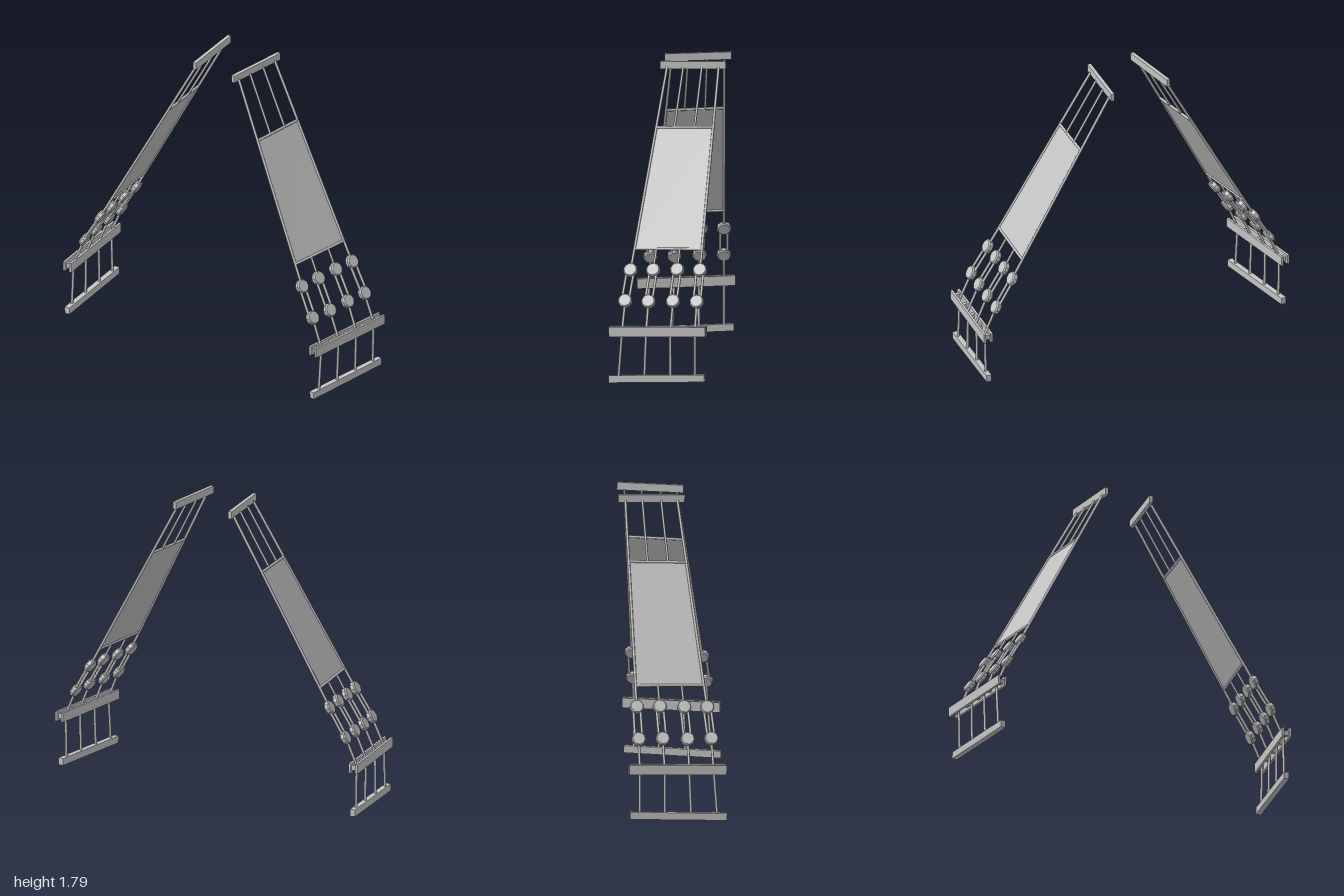
import * as THREE from 'three';

const V = (x, y, z) => new THREE.Vector3(x, y, z);
const grey = new THREE.MeshStandardMaterial({ color: 0xc4c4c4 });
grey.name = 'plain grey';
const sheetGrey = grey.clone();
sheetGrey.name = 'plain grey sheet';
sheetGrey.side = THREE.DoubleSide;

function add(parent, name, geometry, material = grey) {
  const mesh = new THREE.Mesh(geometry, material);
  mesh.name = name;
  parent.add(mesh);
  return mesh;
}

// round rod between two points
function rod(parent, name, a, b, r) {
  const mesh = add(parent, name, new THREE.CylinderGeometry(r, r, a.distanceTo(b), 8));
  mesh.position.lerpVectors(a, b, 0.5);
  mesh.quaternion.setFromUnitVectors(V(0, 1, 0), b.clone().sub(a).normalize());
}

// upright rectangular beam between two points, shifted sideways by offset
function beam(parent, name, a, b, width, height, offset = 0) {
  const along = b.clone().sub(a).normalize();
  const side = V(0, 1, 0).cross(along).normalize();
  const up = along.clone().cross(side);
  const mesh = add(parent, name, new THREE.BoxGeometry(width, height, a.distanceTo(b)));
  mesh.quaternion.setFromRotationMatrix(new THREE.Matrix4().makeBasis(side, up, along));
  mesh.position.lerpVectors(a, b, 0.5).addScaledVector(side, offset);
}

// faceted block with softened rims, axis on y
function blockGeometry() {
  const profile = [[0, -0.017], [0.036, -0.017], [0.042, -0.01], [0.042, 0.01], [0.036, 0.017], [0, 0.017]];
  const g = new THREE.LatheGeometry(profile.map(p => new THREE.Vector2(...p)), 10).toNonIndexed();
  g.computeVertexNormals();
  return g;
}

// points along each of the four lines, front to back
const lines = [
  { foot: [0.905, 0.03, 0.256], rail: [0.908, 0.305, 0.235], low: [0.835, 0.474, 0.223], high: [0.74, 0.64, 0.2], top: [0.147, 1.755, 0.038] },
  { foot: [0.922, 0.035, 0.104], rail: [0.926, 0.31, 0.093], low: [0.855, 0.475, 0.085], high: [0.757, 0.645, 0.066], top: [0.157, 1.757, -0.057] },
  { foot: [0.938, 0.04, -0.05], rail: [0.943, 0.315, -0.05], low: [0.875, 0.482, -0.06], high: [0.775, 0.652, -0.076], top: [0.168, 1.76, -0.166] },
  { foot: [0.955, 0.045, -0.195], rail: [0.96, 0.32, -0.195], low: [0.89, 0.483, -0.2], high: [0.79, 0.654, -0.21], top: [0.178, 1.763, -0.265] },
];

function buildSide(s) {
  const side = new THREE.Group();
  side.name = s > 0 ? 'leftRigging' : 'rightRigging';
  const P = p => V(p[0] * s, p[1], p[2]);

  // cross beams
  beam(side, 'topBeam', P([0.14, 1.757, 0.08]), P([0.182, 1.768, -0.307]), 0.022, 0.045);
  beam(side, 'footBeam', P([0.897, 0.024, 0.312]), P([0.962, 0.046, -0.252]), 0.032, 0.042);
  const railA = P([0.9, 0.305, 0.308]), railB = P([0.97, 0.322, -0.26]);
  for (const o of [-1, 1]) beam(side, 'channelRail', railA, railB, 0.014, 0.058, o * 0.021);
  for (let i = 0; i < 5; i++) {
    const t = 0.05 + i * 0.225;
    beam(side, 'railSpacer', railA.clone().lerp(railB, t - 0.022), railA.clone().lerp(railB, t + 0.022), 0.03, 0.03);
  }

  // plane of the rigging
  const edge = P(lines[3].high).sub(P(lines[0].high)).normalize();
  const atY = (l, y) => {
    const a = P(l.high), b = P(l.top);
    return a.clone().lerp(b, (y - a.y) / (b.y - a.y));
  };
  const panelLow = i => 0.758 + i * 0.0033, panelHigh = i => 1.417 + i * 0.0043;

  lines.forEach((l, i) => {
    const foot = P(l.foot), rail = P(l.rail), low = P(l.low), high = P(l.high), top = P(l.top);
    rod(side, 'footRod', foot, rail, 0.008);
    rod(side, 'linkRod', rail, low, 0.008);

    // paired round blocks
    const along = high.clone().sub(low).normalize();
    const across = edge.clone().addScaledVector(along, -edge.dot(along)).normalize();
    const normal = along.clone().cross(across).normalize();
    for (const c of [low, high]) {
      const block = add(side, 'roundBlock', blockGeometry());
      block.position.copy(c);
      block.quaternion.setFromUnitVectors(V(0, 1, 0), normal);
    }
    // lacing between the blocks
    for (const o of [-0.021, 0.021]) {
      rod(side, 'lacing', low.clone().addScaledVector(across, o), high.clone().addScaledVector(across, o), 0.008);
    }

    // outer lines run full length, inner ones stop at the panel
    if (i === 0 || i === 3) rod(side, 'outerLine', high, top, 0.008);
    else {
      rod(side, 'innerLine', high, atY(l, panelLow(i)), 0.007);
      rod(side, 'innerLine', atY(l, panelHigh(i)), top, 0.007);
    }
  });

  // panel between the outer lines, with edge bars
  const a = atY(lines[0], panelLow(0)), b = atY(lines[3], panelLow(3));
  const c = atY(lines[3], panelHigh(3)), d = atY(lines[0], panelHigh(0));
  const corners = s > 0 ? [a, b, c, a, c, d] : [a, c, b, a, d, c];
  const g = new THREE.BufferGeometry().setFromPoints(corners);
  g.computeVertexNormals();
  add(side, 'panel', g, sheetGrey);
  rod(side, 'panelLowerBar', a, b, 0.008);
  rod(side, 'panelUpperBar', d, c, 0.008);
  return side;
}

export function createModel() {
  const model = new THREE.Group();
  model.name = 'shipRigging';
  model.add(buildSide(1), buildSide(-1));
  return model;
}
